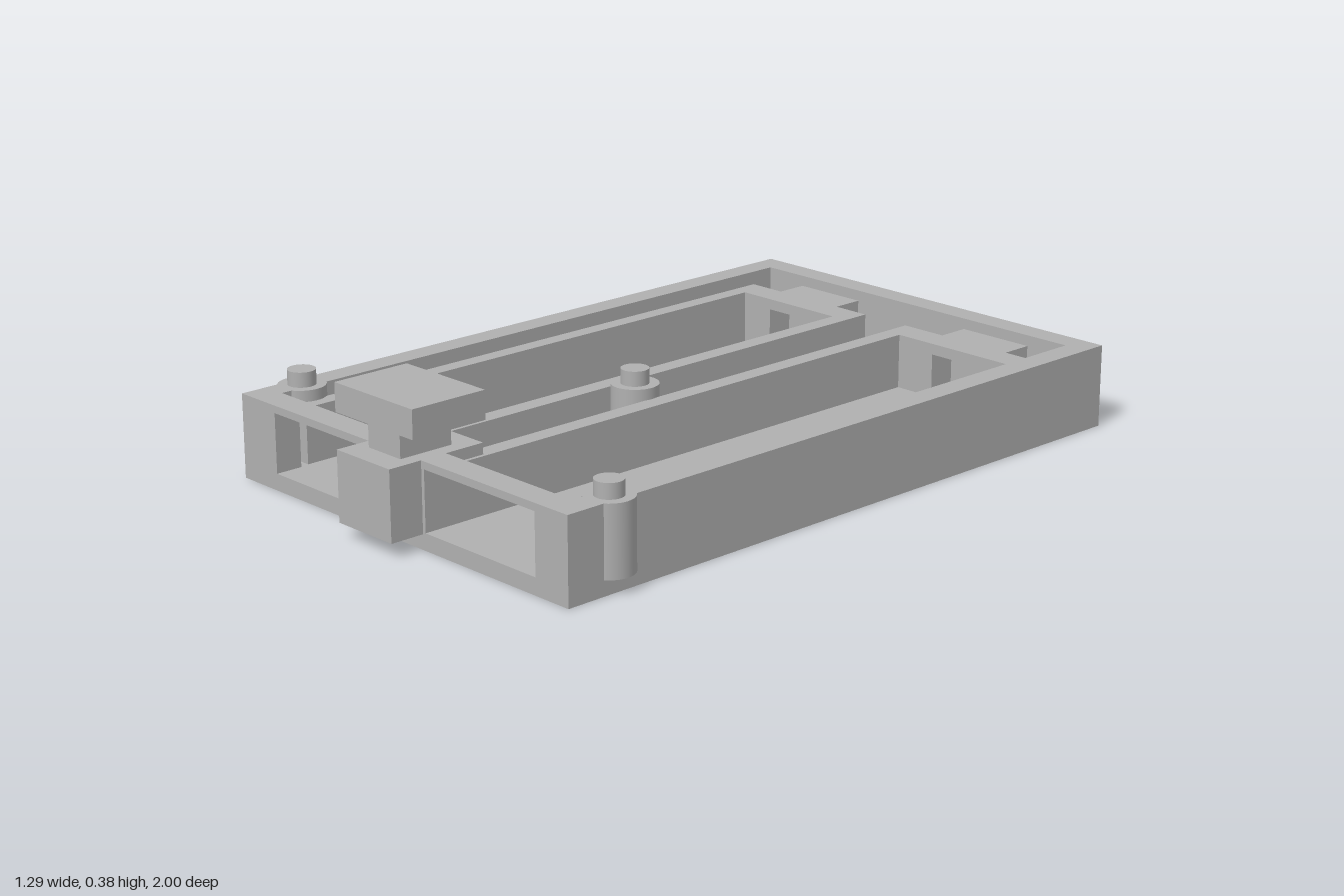
import * as THREE from 'three';

const FLOOR = 0.045, RIM = 0.225, INNER = 0.195;

export function createModel() {
  const model = new THREE.Group();
  model.name = 'batteryTray';
  const grey = new THREE.MeshStandardMaterial({ color: 0xb0b0b0 });
  grey.name = 'plainGrey';

  const add = (name, geometry, parent = model) => {
    const mesh = new THREE.Mesh(geometry, grey);
    mesh.name = name;
    parent.add(mesh);
    return mesh;
  };
  // Box given by its limits on each axis
  const block = (name, x0, x1, y0, y1, z0, z1, parent) => {
    const g = new THREE.BoxGeometry(x1 - x0, y1 - y0, z1 - z0);
    g.translate((x0 + x1) / 2, (y0 + y1) / 2, (z0 + z1) / 2);
    return add(name, g, parent);
  };
  const cylinder = (name, r, x, z, y0, y1, parent) => {
    const g = new THREE.CylinderGeometry(r, r, y1 - y0, 40);
    g.translate(x, (y0 + y1) / 2, z);
    return add(name, g, parent);
  };
  const polygon = (points, Type = THREE.Shape) =>
    new Type(points.map(([x, y]) => new THREE.Vector2(x, y)));
  const rect = (x0, x1, y0, y1, Type) =>
    polygon([[x0, y0], [x1, y0], [x1, y1], [x0, y1]], Type);
  // Upright wall in the XY plane with rectangular openings
  const windowWall = (name, outer, openings, z0, z1) => {
    const shape = rect(...outer);
    openings.forEach((o) => shape.holes.push(rect(...o, THREE.Path)));
    const g = new THREE.ExtrudeGeometry(shape, { depth: z1 - z0, bevelEnabled: false });
    g.translate(0, 0, z0);
    return add(name, g);
  };

  // Floor with stepped rear opening, two screw holes and a recess under the centre post
  const floor = rect(-0.617, 0.617, -0.905, 1);
  floor.holes.push(polygon([
    [-0.155, 0.93], [0.155, 0.93], [0.155, 0.84], [0.06, 0.84],
    [0.06, 0.765], [-0.09, 0.765], [-0.09, 0.84], [-0.155, 0.84],
  ], THREE.Path));
  for (const [x, y] of [[-0.42, 0.705], [0.42, 0.705], [0, -0.125]]) {
    const hole = new THREE.Path();
    hole.absarc(x, y, 0.043, 0, Math.PI * 2, true);
    floor.holes.push(hole);
  }
  const floorGeometry = new THREE.ExtrudeGeometry(floor, {
    depth: FLOOR, bevelEnabled: false, curveSegments: 24,
  });
  add('floor', floorGeometry.rotateX(-Math.PI / 2));

  // Outer shell
  block('rightShellWall', -0.617, -0.55, FLOOR, RIM, -1, 0.905);
  block('leftShellWall', 0.55, 0.617, FLOOR, RIM, -1, 0.905);
  block('backShellWall', -0.55, 0.55, FLOOR, RIM, -1, -0.93);
  windowWall('frontShellWall', [-0.55, 0.55, FLOOR - 0.005, RIM],
    [[-0.48, -0.14, FLOOR, 0.205], [0.11, 0.505, FLOOR, 0.205]], 0.83, 0.905);

  // Inner compartments: side walls, back walls with windows, rear blocks
  block('rightCompartmentOuterWall', -0.53, -0.485, FLOOR, INNER, -0.76, 0.805);
  block('rightCompartmentInnerWall', -0.14, -0.09, FLOOR, INNER, -0.76, 0.83);
  block('leftCompartmentInnerWall', 0.06, 0.11, FLOOR, INNER, -0.76, 0.83);
  block('leftCompartmentOuterWall', 0.505, 0.55, FLOOR, INNER, -0.76, 0.805);
  windowWall('rightCompartmentBackWall', [-0.53, -0.09, FLOOR, INNER],
    [[-0.385, -0.235, 0.065, 0.165]], -0.84, -0.76);
  windowWall('leftCompartmentBackWall', [0.06, 0.55, FLOOR, INNER],
    [[0.23, 0.38, 0.065, 0.165]], -0.84, -0.76);
  block('rightRearBlock', -0.42, -0.2, FLOOR, INNER, -0.93, -0.84);
  block('leftRearBlock', 0.195, 0.42, FLOOR, INNER, -0.93, -0.84);

  // Locating posts with narrower pins
  const posts = [
    ['centrePost', 0, 0.125, 0.02],
    ['rightFrontPost', -0.58, 0.745, 0.04],
    ['leftFrontPost', 0.58, 0.745, 0.04],
  ];
  for (const [name, x, z, y0] of posts) {
    const post = new THREE.Group();
    post.name = name;
    cylinder('postBody', 0.063, x, z, Math.max(y0, 0.04), RIM, post);
    cylinder('postPin', 0.037, x, z, RIM, 0.265, post);
    model.add(post);
  }

  // Push button at the front
  const button = new THREE.Group();
  button.name = 'button';
  block('buttonBody', -0.1, 0.1, 0.04, RIM, 0.715, 1, button);
  block('buttonStem', -0.06, 0.06, RIM, 0.3, 0.78, 0.935, button);
  block('buttonCap', -0.147, 0.147, 0.3, 0.375, 0.745, 0.965, button);
  model.add(button);

  return model;
}
